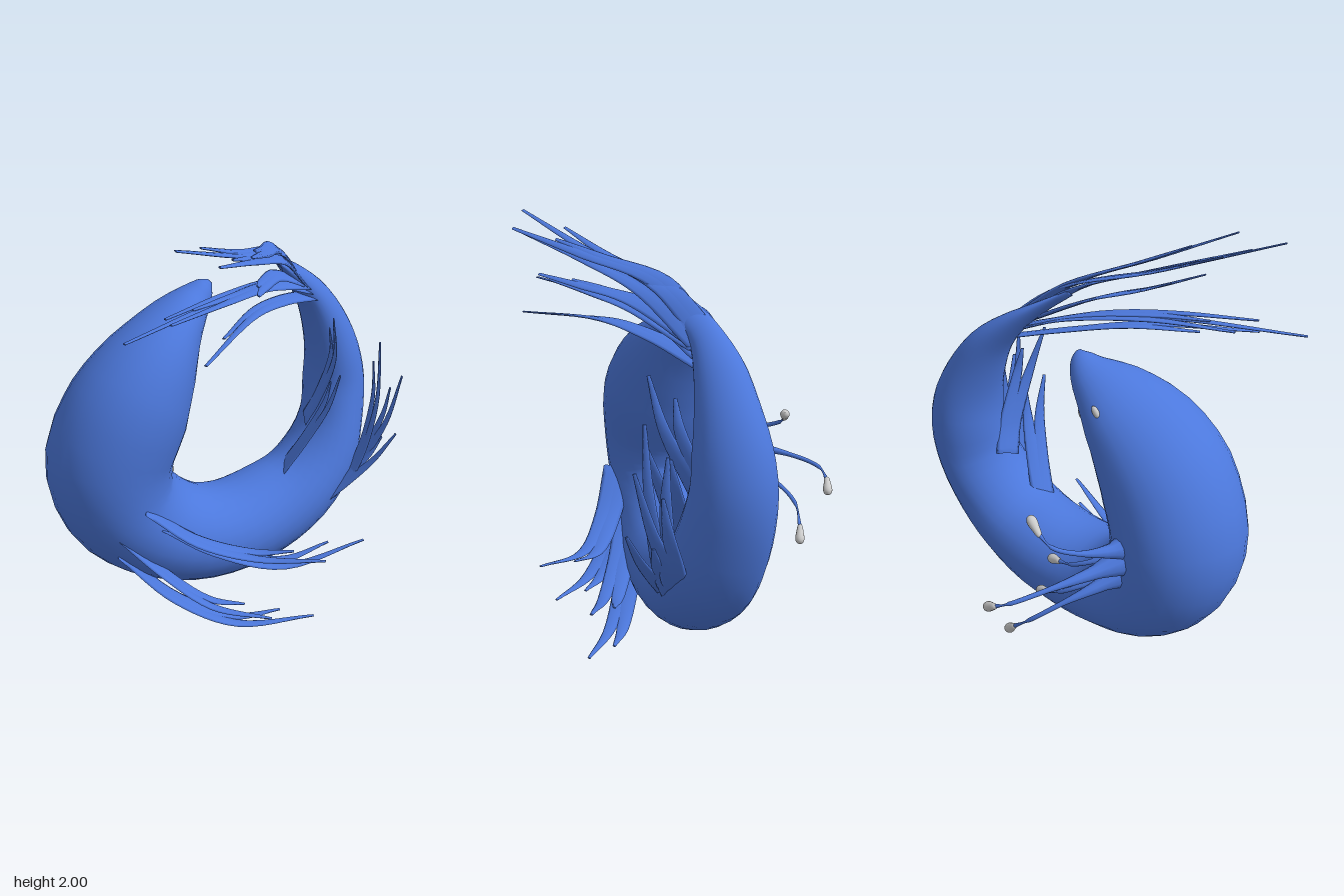
import * as THREE from 'three';

const blue = new THREE.MeshStandardMaterial({ color: 0x4c78dc, roughness: 0.8 });
const grey = new THREE.MeshStandardMaterial({ color: 0xcccccc });
const V = (p) => new THREE.Vector3(p[0], p[1], p[2]);
const Z = new THREE.Vector3(0, 0, 1), Y = new THREE.Vector3(0, 1, 0);

// Smooth closed tube through points; radii [a, b], b lying along the ref axis
function loft(points, radii, rings, sides, ref) {
  const path = new THREE.CatmullRomCurve3(points);
  const size = new THREE.CatmullRomCurve3(radii.map((r) => new THREE.Vector3(r[0], r[1], 0)));
  const pos = [], idx = [];
  for (let i = 0; i <= rings; i++) {
    const t = i / rings, c = path.getPoint(t), r = size.getPoint(t), T = path.getTangent(t);
    const B = ref.clone().addScaledVector(T, -ref.dot(T)).normalize();
    const A = B.clone().cross(T);
    for (let j = 0; j < sides; j++) {
      const q = (j / sides) * Math.PI * 2;
      const p = c.clone().addScaledVector(A, Math.cos(q) * r.x).addScaledVector(B, Math.sin(q) * r.y);
      pos.push(p.x, p.y, p.z);
      const k = i * sides + j, n = i * sides + (j + 1) % sides;
      if (i < rings) idx.push(k, n, k + sides, n, n + sides, k + sides);
    }
  }
  // end caps
  const s = pos.length / 3, e = rings * sides;
  pos.push(...path.getPoint(0).toArray(), ...path.getPoint(1).toArray());
  for (let j = 0; j < sides; j++) {
    const n = (j + 1) % sides;
    idx.push(s, n, j, s + 1, e + j, e + n);
  }
  const g = new THREE.BufferGeometry();
  g.setAttribute('position', new THREE.Float32BufferAttribute(pos, 3));
  g.setIndex(idx);
  g.computeVertexNormals();
  return g;
}

function add(parent, name, geometry, material) {
  const m = new THREE.Mesh(geometry, material);
  m.name = name;
  parent.add(m);
  return m;
}

// Curled body from snout to tail: x, y, z, radial half, sideways half
const body = [
  [-0.062, 1.592, -0.12, 0.012, 0.012], [-0.085, 1.57, -0.12, 0.045, 0.05],
  [-0.135, 1.52, -0.105, 0.08, 0.1], [-0.245, 1.42, -0.04, 0.14, 0.195],
  [-0.365, 1.265, 0.045, 0.225, 0.27], [-0.47, 1.085, 0.1, 0.28, 0.305],
  [-0.56, 0.86, 0.11, 0.29, 0.31], [-0.53, 0.65, 0.09, 0.275, 0.3],
  [-0.4, 0.49, 0.05, 0.255, 0.28], [-0.2, 0.38, 0, 0.23, 0.26],
  [0, 0.35, -0.07, 0.222, 0.25], [0.215, 0.385, -0.16, 0.22, 0.24],
  [0.39, 0.47, -0.23, 0.2, 0.23], [0.515, 0.605, -0.295, 0.185, 0.215],
  [0.585, 0.79, -0.355, 0.155, 0.2], [0.597, 0.97, -0.385, 0.153, 0.185],
  [0.58, 1.13, -0.375, 0.135, 0.17], [0.53, 1.29, -0.345, 0.11, 0.14],
  [0.455, 1.44, -0.3, 0.08, 0.11], [0.36, 1.56, -0.23, 0.05, 0.075],
  [0.28, 1.645, -0.14, 0.025, 0.06], [0.21, 1.72, -0.02, 0.008, 0.045],
];

// Fin strands from root to tip; each also forks into a shorter branch shifted in z
const tailFin = [
  [[0.36, 1.58, -0.22], [0.24, 1.74, -0.02], [0, 1.84, 0.33], [-0.31, 1.995, 0.75]],
  [[0.36, 1.58, -0.2], [0.22, 1.76, 0], [0.1, 1.85, 0.35], [-0.02, 1.945, 0.71]],
  [[0.38, 1.55, -0.2], [0.24, 1.72, 0.05], [0.07, 1.81, 0.33], [-0.14, 1.91, 0.7]],
  [[0.36, 1.55, -0.2], [0.2, 1.67, 0.1], [0.1, 1.71, 0.35], [0.03, 1.75, 0.58]],
  [[0.4, 1.5, -0.22], [0.2, 1.6, 0], [-0.06, 1.645, 0.3], [-0.51, 1.645, 0.75]],
  [[0.38, 1.53, -0.2], [0.15, 1.62, 0.1], [-0.05, 1.65, 0.35], [-0.32, 1.665, 0.63]],
  [[0.43, 1.46, -0.24], [0.25, 1.52, 0], [0.07, 1.56, 0.28], [-0.2, 1.53, 0.73]],
];
const innerFin = [
  [[0.43, 0.82, -0.26], [0.48, 0.95, -0.2], [0.52, 1.2, -0.08], [0.49, 1.42, -0.01]],
  [[0.29, 0.6, -0.14], [0.39, 0.76, -0.1], [0.49, 0.96, -0.05], [0.53, 1.14, 0]],
];
const outerFin = [
  [[0.52, 0.42, -0.14], [0.65, 0.6, -0.1], [0.73, 0.95, -0.06], [0.725, 1.28, -0.04]],
  [[0.52, 0.42, -0.14], [0.7, 0.65, -0.13], [0.79, 0.85, -0.08], [0.835, 1.11, -0.02]],
  [[0.48, 0.42, -0.12], [0.6, 0.54, -0.07], [0.72, 0.68, -0.02], [0.81, 0.83, 0.02]],
];
const bellyFin = [
  [[-0.42, 0.7, 0.33], [-0.2, 0.52, 0.35], [0.07, 0.43, 0.39], [0.36, 0.47, 0.52]],
  [[-0.35, 0.58, 0.26], [-0.12, 0.41, 0.25], [0.23, 0.29, 0.25], [0.62, 0.38, 0.22]],
  [[-0.55, 0.57, 0.3], [-0.37, 0.38, 0.34], [-0.14, 0.215, 0.42], [0.12, 0.19, 0.52]],
  [[-0.55, 0.46, 0.27], [-0.3, 0.18, 0.27], [0, 0.012, 0.28], [0.37, 0.03, 0.3]],
];

function addFin(model, name, strands, width, fork) {
  const fin = new THREE.Group();
  fin.name = name;
  model.add(fin);
  // flat ribbons, wide at the root, that taper to a soft point
  const radii = [[0.007, width], [0.007, width * 0.7], [0.007, width * 0.42], [0.004, 0.008]];
  for (const strand of strands) {
    const main = strand.map(V);
    const branch = main.map((p, i) => p.clone().addScaledVector(Z, fork * i / 3));
    branch[3].lerp(branch[2], 0.4);
    for (const pts of [main, branch]) add(fin, 'finStrand', loft(pts, radii, 18, 8, Z), blue);
  }
}

// Lure stalks: root x, y on the back of the body, then the bulb end
const stalks = [
  [-0.55, 0.82, -0.43, 0.69, -0.73], [-0.53, 0.74, -0.35, 0.46, -0.61],
  [-0.55, 0.88, -0.43, 1, -0.51], [-0.48, 0.72, -0.29, 0.54, -0.415],
  [-0.46, 0.8, -0.28, 0.68, -0.345],
];

export function createModel() {
  const model = new THREE.Group();
  model.name = 'curledFish';

  add(model, 'body', loft(body.map(V), body.map((s) => [s[3], s[4]]), 60, 28, Z), blue);

  addFin(model, 'tailFin', tailFin, 0.055, -0.08);
  addFin(model, 'innerFin', innerFin, 0.06, -0.1);
  addFin(model, 'outerFin', outerFin, 0.06, -0.1);
  addFin(model, 'bellyFin', bellyFin, 0.075, -0.09);

  // stalks rise from a cone, sweep back and bend over to a long grey bulb
  const profile = [[0, -0.06], [0.012, -0.048], [0.018, -0.015], [0.023, 0.018], [0.017, 0.04], [0, 0.05]];
  const curve = new THREE.SplineCurve(profile.map((p) => new THREE.Vector2(p[0], p[1])));
  const outline = curve.getPoints(14).map((p) => new THREE.Vector2(Math.max(0, p.x), p.y));
  const radii = [0.1, 0.034, 0.012, 0.01, 0.01].map((r) => [r, r]);
  for (const [x, y, ex, ey, ez] of stalks) {
    const root = new THREE.Vector3(x, y, -0.1), end = new THREE.Vector3(ex, ey, ez);
    const between = (fx, fy, fz) => new THREE.Vector3(
      x + (ex - x) * fx, y + (ey - y) * fy, root.z + (ez - root.z) * fz);
    const pts = [root, between(-0.08, 0.1, 0.32), between(0.1, 0.32, 0.68), between(0.48, 0.66, 0.93), end];
    add(model, 'lureStalk', loft(pts, radii, 20, 10, Y), blue);
    const dir = end.clone().sub(pts[3]);
    dir.z *= 0.2;
    dir.normalize();
    const bulb = add(model, 'lureBulb', new THREE.LatheGeometry(outline, 14), grey);
    bulb.quaternion.setFromUnitVectors(Y, dir);
    bulb.position.copy(end).addScaledVector(dir, 0.04);
  }

  // eyes: flattened beads facing away from the centre of the head
  const centre = new THREE.Vector3(-0.245, 1.42, -0.04);
  for (const p of [[-0.33, 1.445, -0.182], [-0.172, 1.34, -0.163]]) {
    const eye = add(model, 'eye', new THREE.SphereGeometry(0.03, 16, 12), grey);
    eye.position.copy(V(p));
    const out = V(p).sub(centre).normalize();
    const along = new THREE.Vector3(-0.55, -0.8, 0.2);
    along.addScaledVector(out, -along.dot(out)).normalize();
    eye.quaternion.setFromRotationMatrix(new THREE.Matrix4().makeBasis(along, out.clone().cross(along), out));
    eye.scale.set(1, 0.5, 0.4);
  }
  return model;
}
